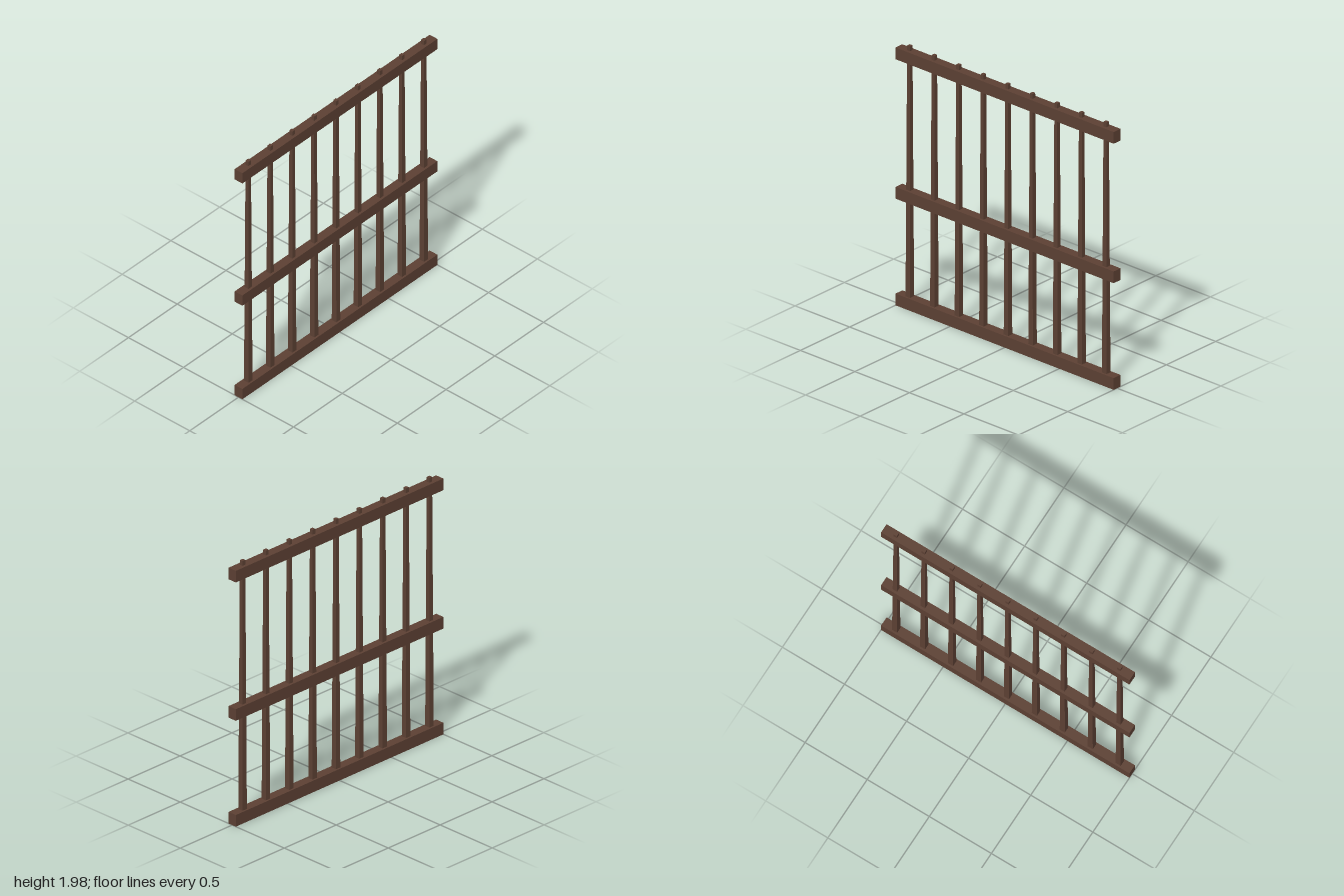
import * as THREE from 'three';

export function createModel() {
  const model = new THREE.Group();
  model.name = 'barredPanel';
  const wood = new THREE.MeshStandardMaterial({ color: 0x5c4033 });
  wood.name = 'dark brown wood';

  // Three horizontal rails
  const railGeometry = new THREE.BoxGeometry(2, 0.088, 0.07);
  const rails = { bottomRail: 0.044, middleRail: 0.847, topRail: 1.897 };
  for (const [name, y] of Object.entries(rails)) {
    const rail = new THREE.Mesh(railGeometry, wood);
    rail.name = name;
    rail.position.y = y;
    model.add(rail);
  }

  // Nine square bars, tapering upwards and poking through the top rail
  const barCount = 9, spacing = 0.225, bottom = 0.01, top = 1.977;
  const barGeometry = new THREE.CylinderGeometry(
    0.013 * Math.SQRT2, 0.021 * Math.SQRT2, top - bottom, 4
  ).rotateY(Math.PI / 4).toNonIndexed();
  barGeometry.computeVertexNormals(); // flat faces
  for (let i = 0; i < barCount; i++) {
    const bar = new THREE.Mesh(barGeometry, wood);
    bar.name = `bar${i + 1}`;
    bar.position.set((i - (barCount - 1) / 2) * spacing, (top + bottom) / 2, 0);
    model.add(bar);
  }
  return model;
}
